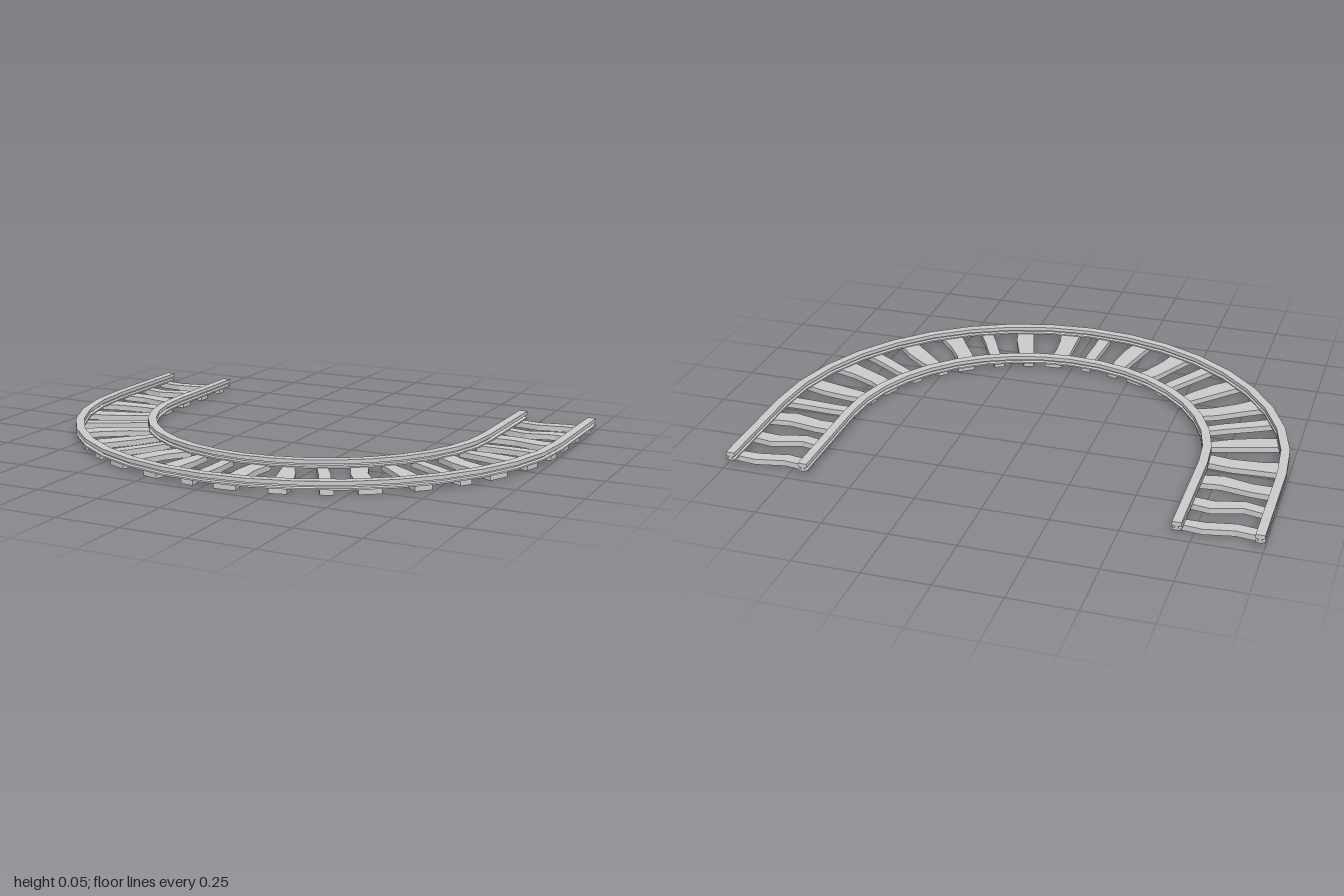
import * as THREE from 'three';

const material = new THREE.MeshStandardMaterial({ color: 0xcccccc, flatShading: true });
const ARC_Z = -0.28, END_Z = -0.72, MID_R = 0.84;

// Skin a row of matching counter-clockwise sections and cap both ends.
function loft(sections, outline) {
  const pos = [];
  const tri = (a, b, c) => pos.push(...a, ...b, ...c);
  const n = outline.length;
  for (let s = 0; s < sections.length - 1; s++) {
    const a = sections[s], b = sections[s + 1];
    for (let i = 0; i < n; i++) {
      const j = (i + 1) % n;
      tri(a[i], a[j], b[j]);
      tri(a[i], b[j], b[i]);
    }
  }
  const first = sections[0], last = sections[sections.length - 1];
  for (const [i, j, k] of THREE.ShapeUtils.triangulateShape(outline, [])) {
    tri(last[i], last[j], last[k]);
    tri(first[k], first[j], first[i]);
  }
  const g = new THREE.BufferGeometry();
  g.setAttribute('position', new THREE.Float32BufferAttribute(pos, 3));
  g.computeVertexNormals();
  return g;
}

// I-shaped rail profile: foot, thin web, head (half width, height)
const half = [[0.017, 0.02], [0.017, 0.026], [0.006, 0.029], [0.006, 0.035], [0.017, 0.037], [0.017, 0.052]];
const railOutline = [...half, ...half.map(([x, y]) => [-x, y]).reverse()].map(([x, y]) => new THREE.Vector2(x, y));

function makeRail(name, radius) {
  const section = (a, dz) => railOutline.map(p => [
    (radius + p.x) * Math.cos(a), p.y, ARC_Z + dz + (radius + p.x) * Math.sin(a)]);
  const sections = [section(0, END_Z - ARC_Z)];
  for (let i = 0; i <= 18; i++) sections.push(section(i * Math.PI / 18, 0));
  sections.push(section(Math.PI, END_Z - ARC_Z));
  const mesh = new THREE.Mesh(loft(sections, railOutline), material);
  mesh.name = name;
  return mesh;
}

// Crooked plank lying along x; edges holds [low z, high z] at four stations.
const STATIONS = [-0.15, -0.05, 0.06, 0.15];
function makeSleeper(edges, height) {
  const sections = edges.map(([lo, hi], i) => {
    const x = STATIONS[i];
    return [[x, 0, hi], [x, 0, lo], [x, height, lo], [x, height, hi]];
  });
  const square = [[0, 0], [1, 0], [1, 1], [0, 1]].map(p => new THREE.Vector2(...p));
  const mesh = new THREE.Mesh(loft(sections, square), material);
  mesh.name = 'sleeper';
  return mesh;
}

// Plank shapes for the straights and for the bend
const straightPlanks = [
  [[-0.022, 0.022], [-0.01, 0.037], [-0.032, 0.016], [-0.022, 0.016]],
  [[-0.025, 0.018], [-0.006, 0.043], [-0.04, 0.016], [-0.026, 0.026]],
  [[-0.042, 0.022], [-0.038, 0.022], [-0.02, 0.048], [-0.03, 0.03]],
];
const bendPlanks = [
  [[-0.053, 0.016], [-0.03, 0.035], [-0.03, 0.038], [-0.043, 0.043]],
  [[-0.02, 0.02], [-0.045, 0.018], [-0.058, 0.015], [-0.055, 0.012]],
  [[-0.02, 0.02], [-0.033, 0.012], [-0.037, 0.01], [-0.045, 0.005]],
];

export function createModel() {
  const group = new THREE.Group();
  group.name = 'curvedTrack';
  group.add(makeRail('outerRail', 0.983), makeRail('innerRail', 0.695));

  const sleepers = new THREE.Group();
  sleepers.name = 'sleepers';
  // Straight ends
  for (const side of [-1, 1]) {
    straightPlanks.forEach((edges, i) => {
      const s = makeSleeper(edges, 0.022);
      s.position.set(side * MID_R, 0, -0.66 + i * 0.15);
      sleepers.add(s);
    });
  }
  // Bend
  for (let i = 0; i < 18; i++) {
    const a = THREE.MathUtils.degToRad(175 - 10 * i);
    const s = makeSleeper(bendPlanks[i % 3], 0.022);
    s.position.set(MID_R * Math.cos(a), 0, ARC_Z + MID_R * Math.sin(a));
    s.rotation.y = -a;
    sleepers.add(s);
  }
  group.add(sleepers);
  return group;
}
